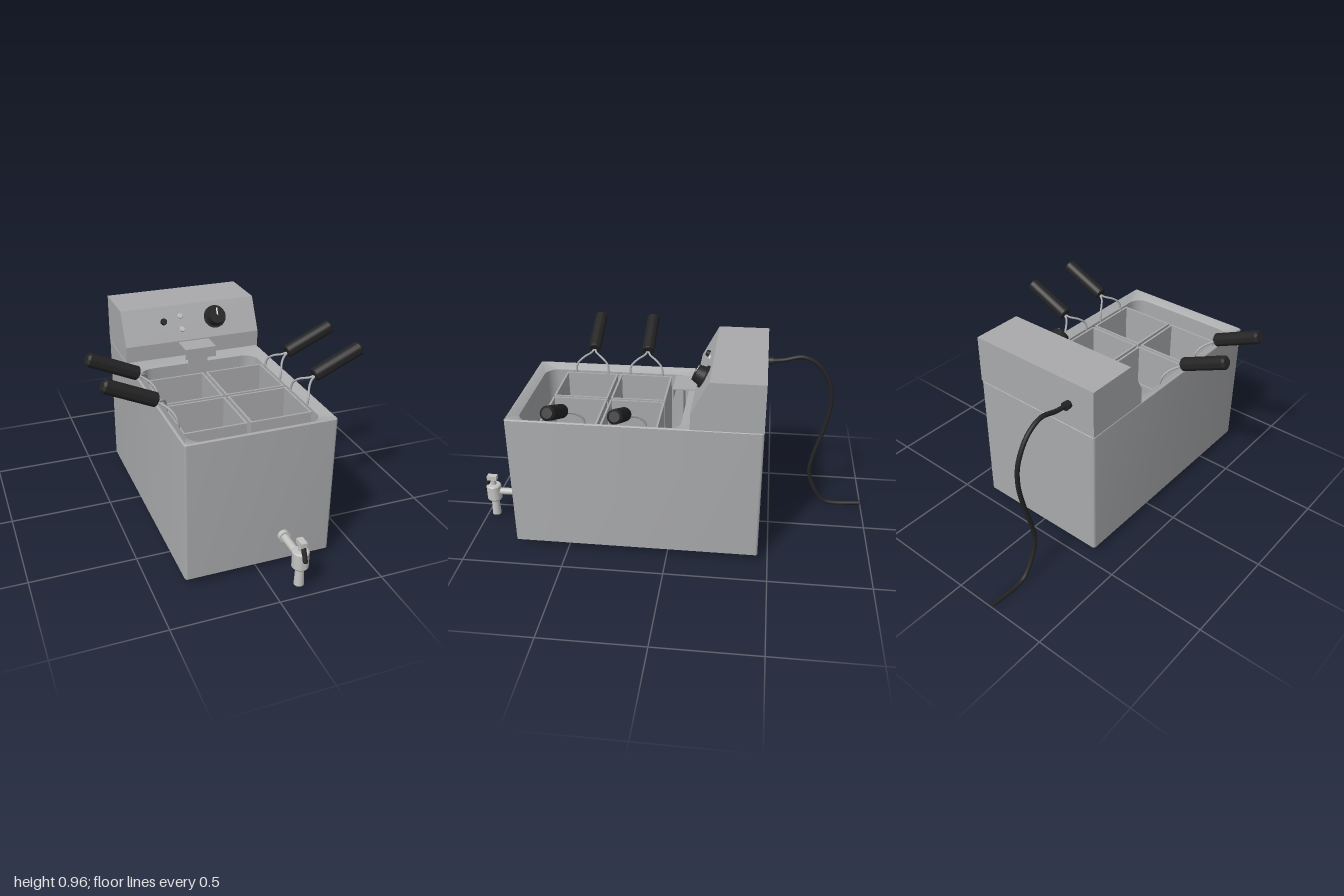
import * as THREE from 'three';
import { toCreasedNormals } from 'three/addons/utils/BufferGeometryUtils.js';

const mat = (name, color, side = THREE.FrontSide) => {
  const m = new THREE.MeshStandardMaterial({ color, side });
  m.name = name;
  return m;
};

// Outline of a rounded rectangle lying flat at height y
function ring({ hx, z, hz, r, y }) {
  const pts = [], n = 6;
  const corners = [[1, 1], [-1, 1], [-1, -1], [1, -1]];
  corners.forEach(([sx, sz], k) => {
    for (let i = 0; i <= n; i++) {
      const a = (k + i / n) * Math.PI / 2;
      pts.push([sx * (hx - r) + r * Math.cos(a), y, z + sz * (hz - r) + r * Math.sin(a)]);
    }
  });
  return pts;
}

// Skin through a list of rings
function loft(sections) {
  const rings = sections.map(ring), n = rings[0].length, pos = [];
  for (let i = 0; i < rings.length - 1; i++) {
    for (let j = 0; j < n; j++) {
      const k = (j + 1) % n;
      const a = rings[i][j], b = rings[i][k], c = rings[i + 1][j], d = rings[i + 1][k];
      pos.push(...a, ...c, ...b, ...b, ...c, ...d);
    }
  }
  const g = new THREE.BufferGeometry();
  g.setAttribute('position', new THREE.Float32BufferAttribute(pos, 3));
  return toCreasedNormals(g, 0.5);
}

const curve = (pts) => new THREE.CatmullRomCurve3(pts.map((p) => new THREE.Vector3(...p)));

export function createModel() {
  const model = new THREE.Group();
  model.name = 'deepFryer';
  const steel = mat('brushedSteel', 0xa9aaac);
  const chrome = mat('tapChrome', 0xc3c3c1);
  const black = mat('blackPlastic', 0x242424);
  const white = mat('whiteMark', 0xf0f0f0);

  const add = (name, geo, material, x = 0, y = 0, z = 0, parent = model) => {
    const m = new THREE.Mesh(geo, material);
    m.name = name;
    m.position.set(x, y, z);
    parent.add(m);
    return m;
  };
  const box = (w, h, d) => new THREE.BoxGeometry(w, h, d);
  const cyl = (rt, rb, h, s = 32) => new THREE.CylinderGeometry(rt, rb, h, s);

  // Housing, dished rim and tank in one skin
  const outer = { hx: 0.35, z: 0.1575, hz: 0.6075, r: 0.012 };
  const hole = { hx: 0.305, z: 0.33, hz: 0.39, r: 0.07 };
  add('housingAndTank', loft([
    { hx: 0, z: 0.1575, hz: 0, r: 0, y: 0.035 },
    { ...outer, y: 0.035 },
    { ...outer, y: 0.71 },
    { hx: 0.345, z: 0.1575, hz: 0.6025, r: 0.01, y: 0.715 },
    { hx: 0.34, z: 0.3225, hz: 0.4325, r: 0.01, y: 0.715 },
    { ...hole, y: 0.69 },
    { ...hole, y: 0.2 },
    { hx: 0, z: 0.33, hz: 0, r: 0, y: 0.2 },
  ]), steel);

  // Feet
  for (const x of [-0.28, 0.28]) {
    for (const z of [0.69, -0.375]) add('foot', cyl(0.04, 0.037, 0.036), black, x, 0.018, z);
  }

  // Control head, extruded across the width
  const side = new THREE.Shape([[0.45, 0.715], [0.45, 0.955], [0.195, 0.955], [0.11, 0.795], [0.11, 0.715]]
    .map(([u, v]) => new THREE.Vector2(u, v)));
  const headGeo = new THREE.ExtrudeGeometry(side, { depth: 0.7, bevelEnabled: false });
  headGeo.rotateY(Math.PI / 2);
  add('controlHead', headGeo, steel, -0.35, 0, 0);

  // Controls stand on the sloped panel; local y points out of it
  const panel = new THREE.Group();
  panel.name = 'controls';
  panel.position.set(0, 0.883, -0.157);
  panel.rotation.x = Math.atan2(0.16, 0.085);
  model.add(panel);
  add('dialPlate', cyl(0.057, 0.057, 0.008, 40), black, 0.13, 0.004, 0, panel);
  add('dialKnob', cyl(0.04, 0.049, 0.042, 40), black, 0.13, 0.027, 0, panel);
  add('dialMark', box(0.007, 0.004, 0.036), white, 0.13, 0.0485, -0.02, panel);
  add('resetButton', cyl(0.014, 0.017, 0.016, 24), black, -0.14, 0.008, -0.005, panel);
  for (const z of [-0.024, 0.042]) {
    add('indicatorLamp', cyl(0.011, 0.014, 0.008, 24), chrome, -0.05, 0.004, z, panel);
  }

  // Bracket that carries the heating element
  add('bracketTop', box(0.158, 0.005, 0.11), steel, 0, 0.787, -0.055);
  add('bracketLip', box(0.158, 0.05, 0.005), steel, 0, 0.762, -0.0025);
  add('bracketPost', box(0.1, 0.56, 0.005), steel, 0, 0.505, -0.048);

  // Four baskets with wire brackets and grips
  for (const s of [-1, 1]) {
    for (const z of [0.185, 0.475]) {
      const basket = new THREE.Group();
      basket.name = 'basket';
      basket.position.set(0, 0, z);
      model.add(basket);
      const w = 0.292, d = 0.272, t = 0.006, h = 0.35, cx = s * 0.155, cy = 0.5;
      add('basketFloor', box(w, t, d), steel, cx, cy - h / 2, 0, basket);
      for (const e of [-1, 1]) {
        add('basketSide', box(t, h, d), steel, cx + e * (w - t) / 2, cy, 0, basket);
        add('basketEnd', box(w, h, t), steel, cx, cy, e * (d - t) / 2, basket);
        add('rimSide', box(0.01, 0.01, d), steel, cx + e * (w - t) / 2, cy + h / 2, 0, basket);
        add('rimEnd', box(w, 0.01, 0.01), steel, cx, cy + h / 2, e * (d - t) / 2, basket);
        const wire = curve([[s * 0.39, 0.79, 0], [s * 0.36, 0.775, e * 0.012], [s * 0.328, 0.757, e * 0.05],
          [s * 0.31, 0.725, e * 0.082], [s * 0.302, 0.66, e * 0.085]]);
        add('handleWire', new THREE.TubeGeometry(wire, 24, 0.0055, 8), steel, 0, 0, 0, basket);
      }
      const r = 0.033, L = 0.256;
      const profile = [[0, 0], [r - 0.006, 0], [r, 0.006], [r, L - 0.01], [r - 0.01, L], [0, L]]
        .map(([a, b]) => new THREE.Vector2(a, b));
      const gripGeo = toCreasedNormals(new THREE.LatheGeometry(profile, 28), 0.5);
      const grip = add('grip', gripGeo, black, s * 0.374, 0.79, 0, basket);
      grip.rotation.z = -s * Math.atan2(0.233, 0.106);
    }
  }

  // Drain tap
  const tap = new THREE.Group();
  tap.name = 'drainTap';
  tap.position.set(0.115, 0, 0.942);
  model.add(tap);
  add('tapFlange', cyl(0.027, 0.027, 0.022), chrome, 0, 0.165, -0.167, tap).rotation.x = Math.PI / 2;
  add('tapPipe', cyl(0.018, 0.018, 0.18), chrome, 0, 0.165, -0.09, tap).rotation.x = Math.PI / 2;
  const body = [[0, 0.115], [0.032, 0.115], [0.038, 0.123], [0.038, 0.198], [0.033, 0.204], [0.014, 0.206],
    [0.014, 0.236], [0, 0.236]].map(([a, b]) => new THREE.Vector2(a, b));
  add('tapBody', toCreasedNormals(new THREE.LatheGeometry(body, 32), 0.5), chrome, 0, 0, 0, tap);
  add('tapSpout', cyl(0.019, 0.023, 0.1), chrome, 0, 0.075, 0, tap);
  add('tapCap', box(0.03, 0.024, 0.05), chrome, 0, 0.245, 0.003, tap);
  const lever = add('tapLever', new THREE.CapsuleGeometry(0.011, 0.055, 6, 16), black, 0, 0.202, 0.034, tap);
  lever.rotation.x = -0.42;

  // Power cord and its gland
  add('cordGland', cyl(0.019, 0.021, 0.03), black, -0.21, 0.835, -0.463).rotation.x = Math.PI / 2;
  const cord = curve([[0.45, 0.835], [0.53, 0.842], [0.63, 0.862], [0.71, 0.82], [0.775, 0.71], [0.786, 0.6],
    [0.76, 0.45], [0.72, 0.3], [0.708, 0.2], [0.74, 0.1], [0.795, 0.024], [0.85, 0.011], [0.92, 0.013], [0.998, 0.019]]
    .map(([z, y]) => [-0.21, y, -z]));
  add('powerCord', new THREE.TubeGeometry(cord, 120, 0.011, 12), black);
  add('cordEnd', new THREE.CircleGeometry(0.011, 12), black, -0.21, 0.019, -0.998).rotation.y = Math.PI;

  return model;
}
